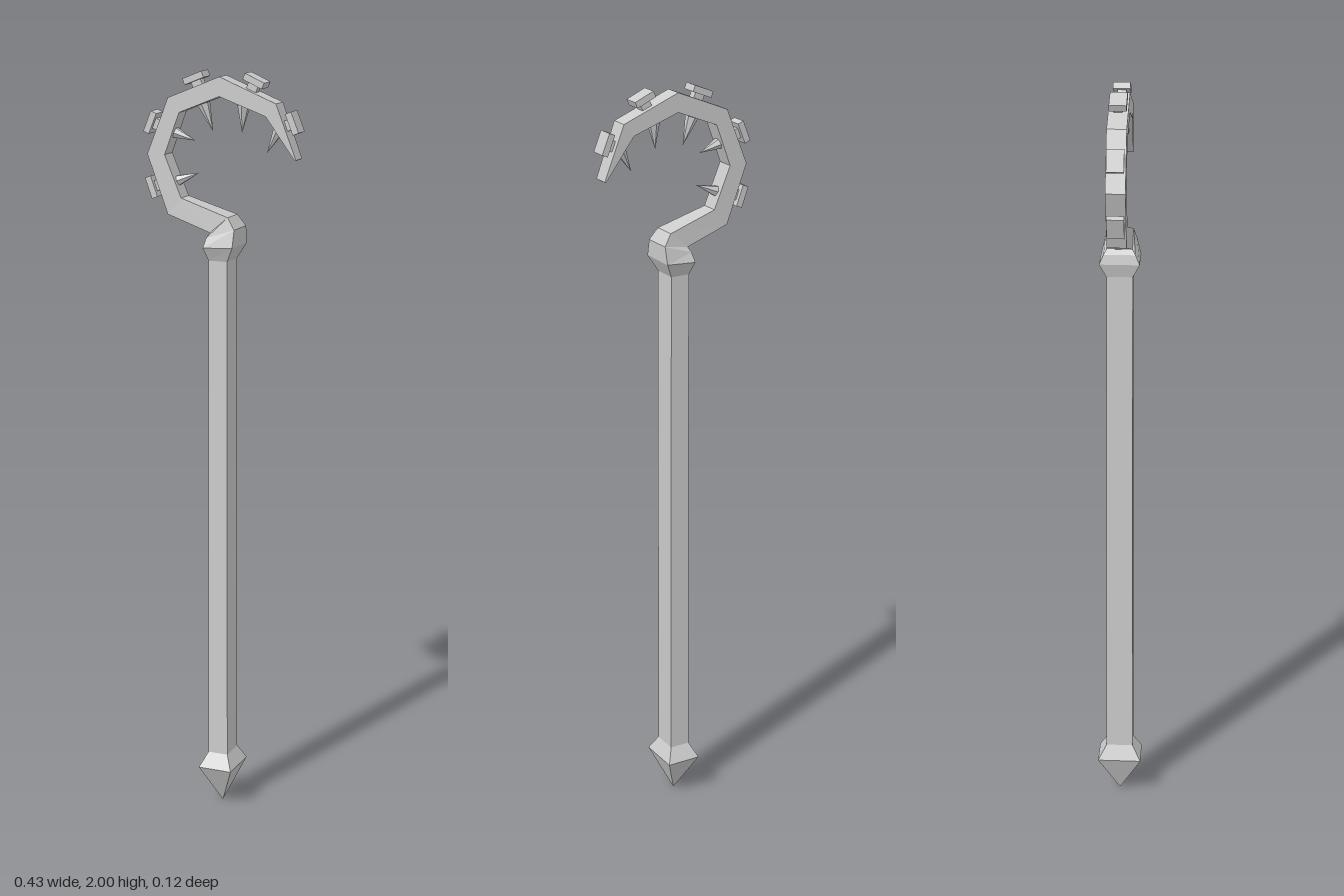
import * as THREE from 'three';

const material = new THREE.MeshStandardMaterial({ color: 0xcccccc, flatShading: true });

function add(group, name, geometry) {
  const mesh = new THREE.Mesh(geometry, material);
  mesh.name = name;
  group.add(mesh);
  return mesh;
}

// Lofts rectangular sections [leftX, leftY, rightX, rightY, halfDepth], closed at both ends
function loft(sections) {
  const pos = [];
  const rings = sections.map(([ax, ay, bx, by, h]) => [[ax, ay, h], [bx, by, h], [bx, by, -h], [ax, ay, -h]]);
  const quad = (a, b, c, d) => pos.push(...a, ...b, ...c, ...a, ...c, ...d);
  for (let i = 0; i < rings.length - 1; i++) {
    const lo = rings[i], hi = rings[i + 1];
    for (let k = 0; k < 4; k++) {
      const n = (k + 1) % 4;
      quad(lo[k], lo[n], hi[n], hi[k]);
    }
  }
  quad(...[...rings[0]].reverse());
  quad(...rings[rings.length - 1]);
  const geometry = new THREE.BufferGeometry();
  geometry.setAttribute('position', new THREE.Float32BufferAttribute(pos, 3));
  geometry.computeVertexNormals();
  return geometry;
}

const level = (y, hx, hz) => [-hx, y, hx, y, hz];

export function createModel() {
  const group = new THREE.Group();

  // Pointed foot and square shaft
  add(group, 'foot', loft([level(0, 0.001, 0.001), level(0.11, 0.047, 0.059), level(0.15, 0.028, 0.036)]));
  add(group, 'shaft', loft([level(0.15, 0.028, 0.036), level(1.52, 0.026, 0.034)]));

  // Swollen collar that bends into the faceted hook
  add(group, 'hook', loft([
    level(1.52, 0.026, 0.034),
    [-0.035, 1.555, 0.047, 1.56, 0.052],
    [-0.03, 1.58, 0.048, 1.605, 0.041],
    [-0.023, 1.593, 0.027, 1.635, 0.033],
    [-0.145, 1.633, -0.107, 1.677, 0.025],
    [-0.202, 1.787, -0.153, 1.787, 0.025],
    [-0.143, 1.934, -0.112, 1.897, 0.025],
    [0, 1.992, 0, 1.942, 0.025],
    [0.155, 1.93, 0.127, 1.897, 0.025],
    [0.209, 1.79, 0.206, 1.788, 0.022],
  ]));

  // Spikes on the inner side: base x, y then tip x, y
  const spikes = [
    [-0.135, 1.715, -0.066, 1.742],
    [-0.14, 1.845, -0.076, 1.824],
    [-0.053, 1.92, -0.027, 1.85],
    [0.058, 1.92, 0.053, 1.85],
    [0.158, 1.87, 0.122, 1.802],
  ];
  for (const [bx, by, tx, ty] of spikes) {
    const dir = new THREE.Vector3(tx - bx, ty - by, 0);
    const length = dir.length();
    const cone = new THREE.ConeGeometry(0.017, length, 6).translate(0, length / 2, 0);
    const spike = add(group, 'spike', cone);
    spike.position.set(bx, by, 0);
    spike.quaternion.setFromUnitVectors(new THREE.Vector3(0, 1, 0), dir.normalize());
  }

  // Flat-headed studs on the outer side: head centre x, y and outward angle in degrees
  const studs = [
    [-0.193, 1.7, 200],
    [-0.196, 1.868, 158],
    [-0.074, 1.986, 112],
    [0.092, 1.984, 66],
    [0.197, 1.882, 22],
  ];
  for (const [x, y, angle] of studs) {
    const stud = new THREE.Group();
    stud.name = 'stud';
    add(stud, 'studHead', new THREE.BoxGeometry(0.017, 0.057, 0.044));
    add(stud, 'studNeck', new THREE.BoxGeometry(0.035, 0.028, 0.022)).position.x = -0.018;
    stud.position.set(x, y, 0);
    stud.rotation.z = THREE.MathUtils.degToRad(angle);
    group.add(stud);
  }
  return group;
}
